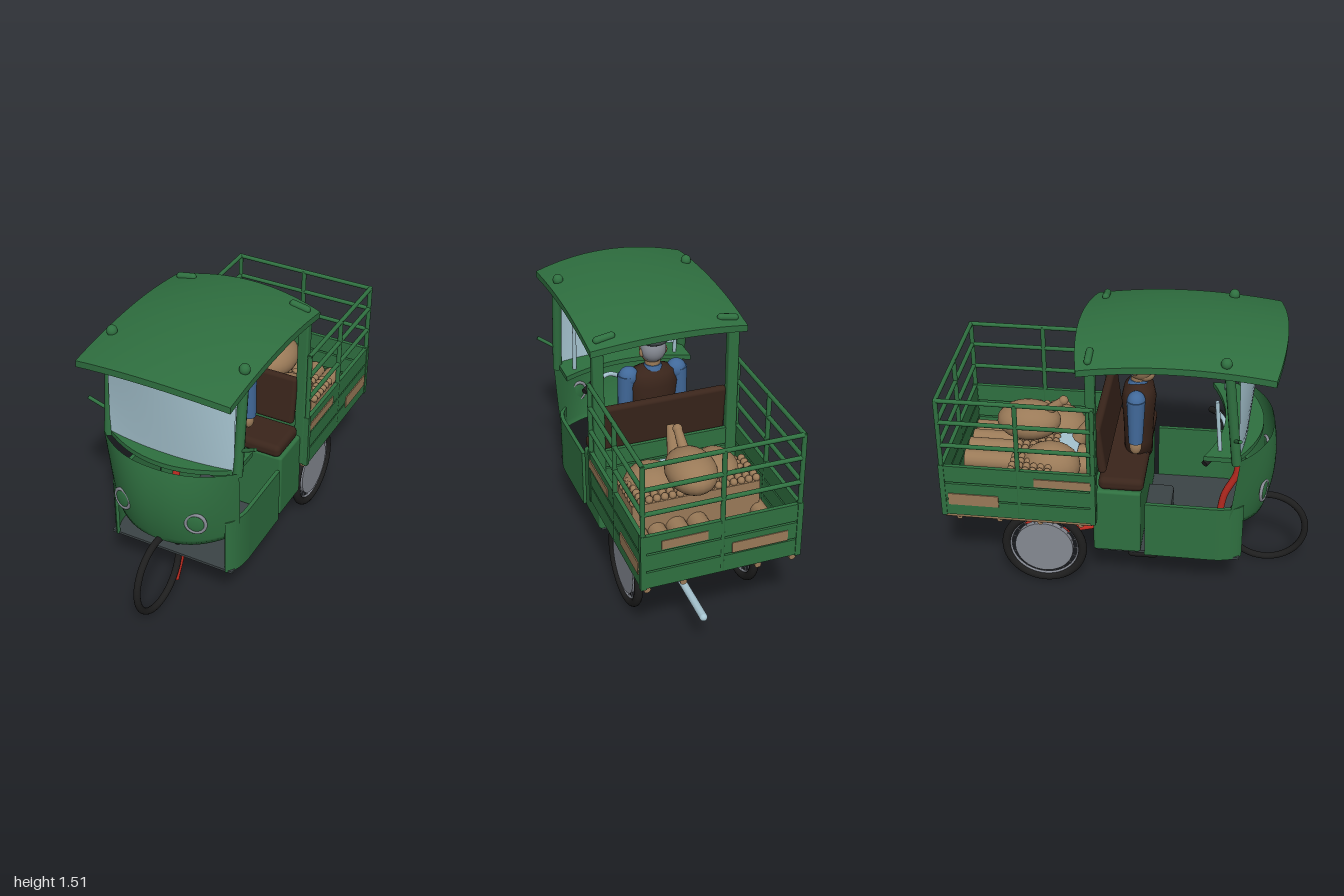
import * as THREE from 'three';
import { ParametricGeometry } from 'three/addons/geometries/ParametricGeometry.js';
import { RoundedBoxGeometry } from 'three/addons/geometries/RoundedBoxGeometry.js';

const paint = (name, color) => {
  const m = new THREE.MeshStandardMaterial({ color, side: THREE.DoubleSide });
  m.name = name;
  return m;
};

export function createModel() {
  const green = paint('green', 0x2f7040), black = paint('black', 0x1e1e1e);
  const dark = paint('dark grey', 0x3c4446), pale = paint('pale blue', 0xa6c4d0);
  const grey = paint('grey', 0x868a93), tan = paint('tan', 0x9a7a58);
  const brown = paint('dark brown', 0x3a251b), red = paint('red', 0xb82a20), blue = paint('blue', 0x41699a);

  const root = new THREE.Group();
  const V = (p) => new THREE.Vector3(...p);
  const add = (name, geo, mat, x = 0, y = 0, z = 0) => {
    const m = new THREE.Mesh(geo, mat);
    m.name = name;
    m.position.set(x, y, z);
    root.add(m);
    return m;
  };
  const box = (name, mat, w, h, d, x, y, z) => add(name, new THREE.BoxGeometry(w, h, d), mat, x, y, z);
  const soft = (name, mat, w, h, d, x, y, z, r = 0.015) => add(name, new RoundedBoxGeometry(w, h, d, 3, r), mat, x, y, z);
  const ball = (name, mat, rx, ry, rz, x, y, z) =>
    add(name, new THREE.SphereGeometry(1, 24, 16).scale(rx, ry, rz), mat, x, y, z);
  // straight round bar between two points
  const rod = (name, mat, r, a, b, r2 = r, sides = 12) => {
    const d = V(b).sub(V(a));
    const m = add(name, new THREE.CylinderGeometry(r2, r, d.length(), sides), mat);
    m.position.copy(V(a)).addScaledVector(d, 0.5);
    m.quaternion.setFromUnitVectors(new THREE.Vector3(0, 1, 0), d.normalize());
    return m;
  };
  const tube = (name, mat, r, ...pts) =>
    add(name, new THREE.TubeGeometry(new THREE.CatmullRomCurve3(pts.map(V)), 28, r, 10), mat);
  const both = (fn) => [-1, 1].forEach(fn);

  // Roof: a slab crowned both ways with bowed ends
  const roofGeo = new THREE.BoxGeometry(0.85, 0.036, 1, 24, 1, 24);
  const rp = roofGeo.attributes.position;
  for (let i = 0; i < rp.count; i++) {
    const u = rp.getX(i) / 0.425, t = rp.getZ(i) * 2;
    rp.setY(i, rp.getY(i) + 1.5 - 0.05 * u * u - (t > 0 ? 0.036 : 0.045) * t * t);
    rp.setZ(i, 0.27 + t * (0.54 - 0.045 * u * u));
  }
  roofGeo.computeVertexNormals();
  add('roof', roofGeo, green);
  both((s) => {
    ball('roofLamp', green, 0.028, 0.03, 0.028, s * 0.37, 1.483, 0.515);
    const c = add('roofRearLamp', new THREE.CapsuleGeometry(0.019, 0.08, 6, 12).rotateZ(Math.PI / 2), green, s * 0.335, 1.46, -0.17);
    c.rotation.z = -s * 0.18;
  });

  // Curved front fairing
  add('frontFairing', new ParametricGeometry((a, b, out) => {
    const u = a * 2 - 1, k = Math.abs(u) ** 2.4;
    const low = 0.452 + 0.045 * k;
    const y = low + (0.93 - low) * b;
    const front = 0.745 + 0.16 * b - 0.135 * b * b;
    const side = 0.56 + 0.05 * b;
    out.set(u * (0.37 + 0.022 * Math.sqrt(b)), y, front + (side - front) * k);
  }, 32, 14), green);

  // Windscreen bowed forward
  add('windscreen', new ParametricGeometry((a, b, out) => {
    const u = a * 2 - 1;
    out.set(u * 0.36, 0.92 + 0.55 * b - 0.04 * b * u * u, 0.635 + 0.05 * b - u * u * (0.035 + 0.065 * b));
  }, 24, 4), pale);

  // Dashboard shelf behind the fairing
  const dash = new THREE.Shape();
  dash.moveTo(-0.37, 0.42);
  dash.quadraticCurveTo(0, 0.6, 0.37, 0.42);
  dash.lineTo(0.37, 0.59);
  dash.quadraticCurveTo(0, 0.84, -0.37, 0.59);
  add('dashboard', new THREE.ExtrudeGeometry(dash, { depth: 0.028, bevelEnabled: false, curveSegments: 20 }).rotateX(Math.PI / 2), green, 0, 0.93, 0);

  // Lower side panels in plan, curling inwards at the front
  both((s) => {
    const p = new THREE.Shape();
    p.moveTo(s * 0.385, 0.12);
    p.lineTo(s * 0.388, 0.48);
    p.quadraticCurveTo(s * 0.385, 0.6, s * 0.33, 0.64);
    p.lineTo(s * 0.32, 0.625);
    p.quadraticCurveTo(s * 0.365, 0.58, s * 0.366, 0.48);
    p.lineTo(s * 0.363, 0.12);
    add('sidePanel', new THREE.ExtrudeGeometry(p, { depth: 0.335, bevelEnabled: false }).rotateX(Math.PI / 2), green, 0, 0.608, 0);

    rod('frontPillar', green, 0.026, [s * 0.375, 0.9, 0.59], [s * 0.375, 1.45, 0.53]);
    soft('rearPillar', green, 0.06, 0.96, 0.05, s * 0.372, 0.96, -0.16, 0.01);
    rod('mirrorArm', green, 0.01, [s * 0.385, 1.045, 0.575], [s * 0.478, 1.105, 0.605]);
    rod('wiper', pale, 0.011, [s * 0.3, 0.92, 0.5], [s * 0.3, 1.22, 0.475]);

    // Headlight: oval ring with a painted lens
    const lamp = new THREE.Group();
    lamp.name = 'headlight';
    lamp.add(new THREE.Mesh(new THREE.TorusGeometry(0.052, 0.009, 10, 32).scale(1, 1.08, 1), grey));
    lamp.add(new THREE.Mesh(new THREE.SphereGeometry(0.05, 24, 12).scale(1, 1.08, 0.2), green));
    lamp.position.set(s * 0.215, 0.635, 0.738);
    lamp.rotation.y = s * 0.3;
    root.add(lamp);
  });

  // Cab floor, motor housing, seat
  box('cabFloor', dark, 0.73, 0.014, 0.78, 0, 0.277, 0.24);
  soft('motorHousing', dark, 0.22, 0.19, 0.21, 0, 0.305, 0.13, 0.02);
  soft('seatBox', green, 0.76, 0.39, 0.255, 0, 0.475, -0.03);
  soft('seatCushion', brown, 0.74, 0.075, 0.24, 0, 0.705, -0.01, 0.03);
  soft('seatBack', brown, 0.7, 0.28, 0.045, 0, 0.9, -0.125, 0.02).rotation.x = -0.12;

  // Wheels
  const tyre = (name, R, r, x, y, z) => add(name, new THREE.TorusGeometry(R, r, 14, 56).rotateY(Math.PI / 2), black, x, y, z);
  tyre('frontTyre', 0.215, 0.0185, 0, 0.238, 0.767);
  both((s) => {
    const x = s * 0.328, y = 0.24, z = -0.437;
    tyre('rearTyre', 0.211, 0.024, x, y, z);
    add('rearRim', new THREE.TorusGeometry(0.188, 0.008, 8, 48).rotateY(Math.PI / 2), grey, x, y, z);
    add('hubDisc', new THREE.CylinderGeometry(0.16, 0.16, 0.03, 40).rotateZ(Math.PI / 2), grey, x, y, z);
    for (let i = 0; i < 20; i++) {
      const c = Math.cos(i * Math.PI / 10), n = Math.sin(i * Math.PI / 10);
      rod('spoke', grey, 0.0035, [x, y + 0.15 * n, z + 0.15 * c], [x, y + 0.19 * n, z + 0.19 * c], 0.0035, 6);
    }
    // Rear suspension braces
    rod('rearBrace', red, 0.013, [s * 0.22, 0.47, -0.86], [s * 0.22, 0.26, -0.45]);
    tube('frontBrace', red, 0.013, [s * 0.23, 0.47, -0.17], [s * 0.23, 0.36, -0.22], [s * 0.22, 0.29, -0.32], [s * 0.22, 0.25, -0.44]);
    rod('chassisBrace', red, 0.012, [s * 0.23, 0.25, -0.44], [s * 0.08, 0.27, 0.05]);
    // Handlebar halves, cranks and pedals
    tube('handlebar', pale, 0.013, [0, 0.8, 0.53], [s * 0.1, 0.855, 0.5], [s * 0.2, 0.84, 0.46]);
    rod('grip', black, 0.018, [s * 0.19, 0.842, 0.475], [s * 0.27, 0.815, 0.42]);
    rod('pedal', black, 0.012, [s * 0.1, 0.17, 0.12], [s * 0.21, 0.17, 0.12]);
    rod('crank', black, 0.009, [s * 0.1, 0.17, 0.12], [s * 0.1, 0.24, 0.08]);
    rod('driveChain', dark, 0.005, [s * 0.03, 0.24 + s * 0.05, 0.02], [s * 0.03, 0.24 + s * 0.04, -0.43], 0.005, 6);
  });
  rod('rearAxle', red, 0.016, [-0.32, 0.24, -0.437], [0.32, 0.24, -0.437]);
  rod('exhaustPipe', pale, 0.021, [0.1, 0.25, 0.05], [0.1, 0.233, -0.98]);
  ball('exhaustTip', pale, 0.021, 0.021, 0.021, 0.1, 0.233, -0.979);
  tube('steeringColumn', red, 0.02, [0, 0.82, 0.53], [0, 0.61, 0.59], [0, 0.42, 0.52], [0, 0.26, 0.505], [0, 0.18, 0.525], [0, 0.05, 0.595]);

  // Cargo bed: floor, joists, slatted walls
  box('bedFloor', dark, 0.82, 0.02, 0.8, 0, 0.495, -0.552);
  for (const x of [-0.39, -0.2, 0.2, 0.39]) rod('bedBeam', tan, 0.018, [x, 0.468, -0.16], [x, 0.468, -0.955]);
  for (const z of [-0.22, -0.44, -0.66, -0.88]) rod('bedJoist', tan, 0.015, [-0.4, 0.452, z], [0.4, 0.452, z]);
  for (const [y, h] of [[0.745, 0.1], [0.637, 0.095], [0.532, 0.095]]) {
    both((s) => box('sideSlat', green, 0.022, h, 0.81, s * 0.413, y, -0.553));
    box('tailSlat', green, 0.83, h, 0.022, 0, y, -0.952);
    box('headSlat', green, 0.83, h, 0.022, 0, y, -0.165);
  }
  // Bare wood patches
  both((s) => {
    box('woodPatch', tan, 0.007, 0.048, 0.3, s * 0.426, 0.728, -0.31);
    box('woodPatch', tan, 0.007, 0.07, 0.27, s * 0.426, 0.588, -0.79);
  });
  box('tailPatch', tan, 0.3, 0.06, 0.007, -0.2, 0.62, -0.964);
  box('tailPatch', tan, 0.24, 0.05, 0.007, 0.2, 0.73, -0.964);

  // Rails above the bed
  both((s) => {
    for (const z of [-0.15, -0.545, -0.953]) rod('railPost', green, 0.013, [s * 0.413, 0.5, z], [s * 0.413, 1.195, z]);
    for (const y of [0.92, 1.06, 1.19]) rod('sideRail', green, 0.012, [s * 0.413, y, -0.14], [s * 0.413, y, -0.96]);
    for (const z of [-0.15, -0.953]) box('cornerPost', green, 0.03, 0.32, 0.028, s * 0.413, 0.64, z);
  });
  rod('railPost', green, 0.013, [0, 0.5, -0.953], [0, 1.195, -0.953]);
  for (const y of [0.92, 1.06, 1.19]) rod('tailRail', green, 0.012, [-0.413, y, -0.953], [0.413, y, -0.953]);

  // Load: logs, produce tray, sacks
  for (const [x, r] of [[-0.345, 0.045], [0, 0.056], [0.115, 0.056], [0.22, 0.05], [0.32, 0.05]])
    rod('log', tan, r, [x, 0.505 + r, -0.93], [x, 0.505 + r, -0.2], r, 16);
  box('tray', tan, 0.7, 0.2, 0.22, 0, 0.63, -0.51);
  for (let i = 0; i < 17; i++) for (let j = 0; j < 6; j++) {
    add('produce', new THREE.SphereGeometry(0.021, 10, 7), tan, -0.336 + i * 0.042, 0.74, -0.6 + j * 0.039);
  }
  ball('topSack', tan, 0.132, 0.105, 0.175, 0.012, 0.838, -0.56);
  rod('topSackNeck', tan, 0.03, [0.012, 0.89, -0.47], [0.012, 0.975, -0.365], 0.022);
  ball('topSackTie', tan, 0.026, 0.026, 0.026, 0.012, 0.974, -0.366);
  ball('rightSack', tan, 0.125, 0.13, 0.16, -0.19, 0.69, -0.41);
  ball('leftSack', tan, 0.15, 0.13, 0.16, 0.175, 0.69, -0.42);
  rod('sackNeck', tan, 0.045, [-0.01, 0.75, -0.28], [-0.01, 0.9, -0.2], 0.02);
  box('cloth', pale, 0.26, 0.008, 0.13, -0.03, 0.74, -0.34);

  // Driver
  both((s) => {
    rod('trouserLeg', dark, 0.036, [s * 0.075, 0.06, 0.035], [s * 0.075, 0.74, 0.045], 0.055, 16);
    add('shoe', new THREE.CapsuleGeometry(0.028, 0.12, 6, 14).rotateX(Math.PI / 2), black, s * 0.075, 0.042, 0.08);
    ball('shoulder', blue, 0.055, 0.055, 0.05, s * 0.135, 1.09, 0.045);
    rod('sleeve', blue, 0.038, [s * 0.158, 0.85, 0.045], [s * 0.145, 1.1, 0.045], 0.05, 16);
    ball('hand', tan, 0.026, 0.045, 0.032, s * 0.158, 0.82, 0.045);
    ball('ear', tan, 0.012, 0.024, 0.016, s * 0.066, 1.225, 0.03);
  });
  const vest = [[0, 0.7], [0.115, 0.7], [0.118, 0.8], [0.125, 0.92], [0.14, 1.04], [0.12, 1.11], [0.05, 1.14], [0, 1.14]];
  add('vest', new THREE.LatheGeometry(vest.map((p) => new THREE.Vector2(...p)), 28).scale(1, 1, 0.66), brown, 0, 0, 0.045);
  rod('shirtCollar', blue, 0.06, [0, 1.11, 0.04], [0, 1.15, 0.04], 0.045, 16);
  rod('neck', tan, 0.042, [0, 1.11, 0.04], [0, 1.2, 0.045], 0.042, 16);
  ball('head', tan, 0.066, 0.09, 0.075, 0, 1.235, 0.055);
  ball('jaw', tan, 0.045, 0.04, 0.05, 0, 1.18, 0.08);
  rod('nose', tan, 0.016, [0, 1.21, 0.135], [0, 1.255, 0.122], 0.006);
  ball('hair', grey, 0.069, 0.075, 0.06, 0, 1.242, 0.027);
  ball('cap', dark, 0.092, 0.037, 0.11, 0, 1.308, 0.05);
  ball('capBrim', dark, 0.075, 0.012, 0.07, 0, 1.283, 0.115);
  return root;
}
